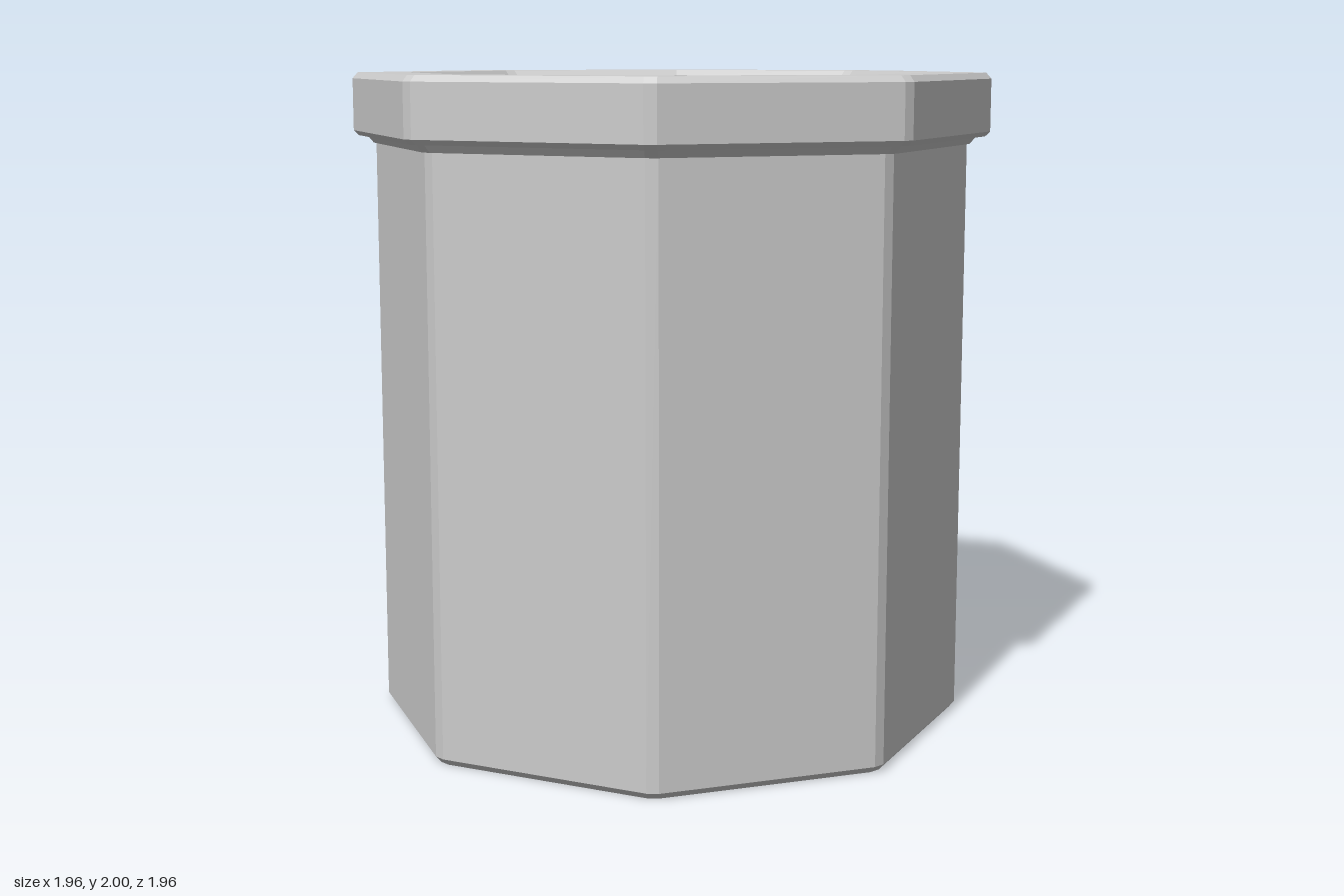
import * as THREE from 'three';

const SIDES = 8;
const BEVEL = 0.018; // half-width of the chamfer on each upright corner

// Octagonal ring with lightly chamfered corners; corners lie on the x and z axes
function ring(r, y) {
  const pts = [];
  const w = Math.min(BEVEL, r * 0.3);
  for (let i = 0; i < SIDES; i++) {
    const a = (i / SIDES) * Math.PI * 2;
    for (const s of [-w, w]) {
      pts.push([r * Math.cos(a) - s * Math.sin(a), y, -(r * Math.sin(a) + s * Math.cos(a))]);
    }
  }
  return pts;
}

// Skin the rings of a [radius, height] profile
function octagonalLoft(name, profile, material) {
  const rings = profile.map(([r, y]) => ring(r, y));
  const n = SIDES * 2;
  const pos = [];
  for (let i = 0; i < rings.length - 1; i++) {
    for (let j = 0; j < n; j++) {
      const k = (j + 1) % n;
      const a = rings[i][j], b = rings[i][k], c = rings[i + 1][k], d = rings[i + 1][j];
      if (profile[i][0] > 0) pos.push(...a, ...b, ...c);
      if (profile[i + 1][0] > 0) pos.push(...a, ...c, ...d);
    }
  }
  const geo = new THREE.BufferGeometry();
  geo.setAttribute('position', new THREE.Float32BufferAttribute(pos, 3));
  geo.computeVertexNormals();
  const mesh = new THREE.Mesh(geo, material);
  mesh.name = name;
  return mesh;
}

export function createModel() {
  const group = new THREE.Group();
  group.name = 'octagonalPot';
  const material = new THREE.MeshStandardMaterial({ color: 0xcccccc, flatShading: true });

  // Base and outer wall, with a chamfered foot
  group.add(octagonalLoft('outerWall', [
    [0, 0], [0.89, 0], [0.908, 0.02], [0.908, 1.785],
  ], material));

  // Overhanging rim with a small stepped collar below it
  group.add(octagonalLoft('rim', [
    [0.908, 1.785], [0.916, 1.785], [0.936, 1.808], [0.963, 1.808],
    [0.978, 1.823], [0.978, 1.982], [0.962, 2], [0.798, 2], [0.78, 1.982],
  ], material));

  // Hollow inside, down to the floor
  group.add(octagonalLoft('innerWall', [
    [0.78, 1.982], [0.78, 0.17], [0.758, 0.15], [0, 0.15],
  ], material));

  return group;
}
